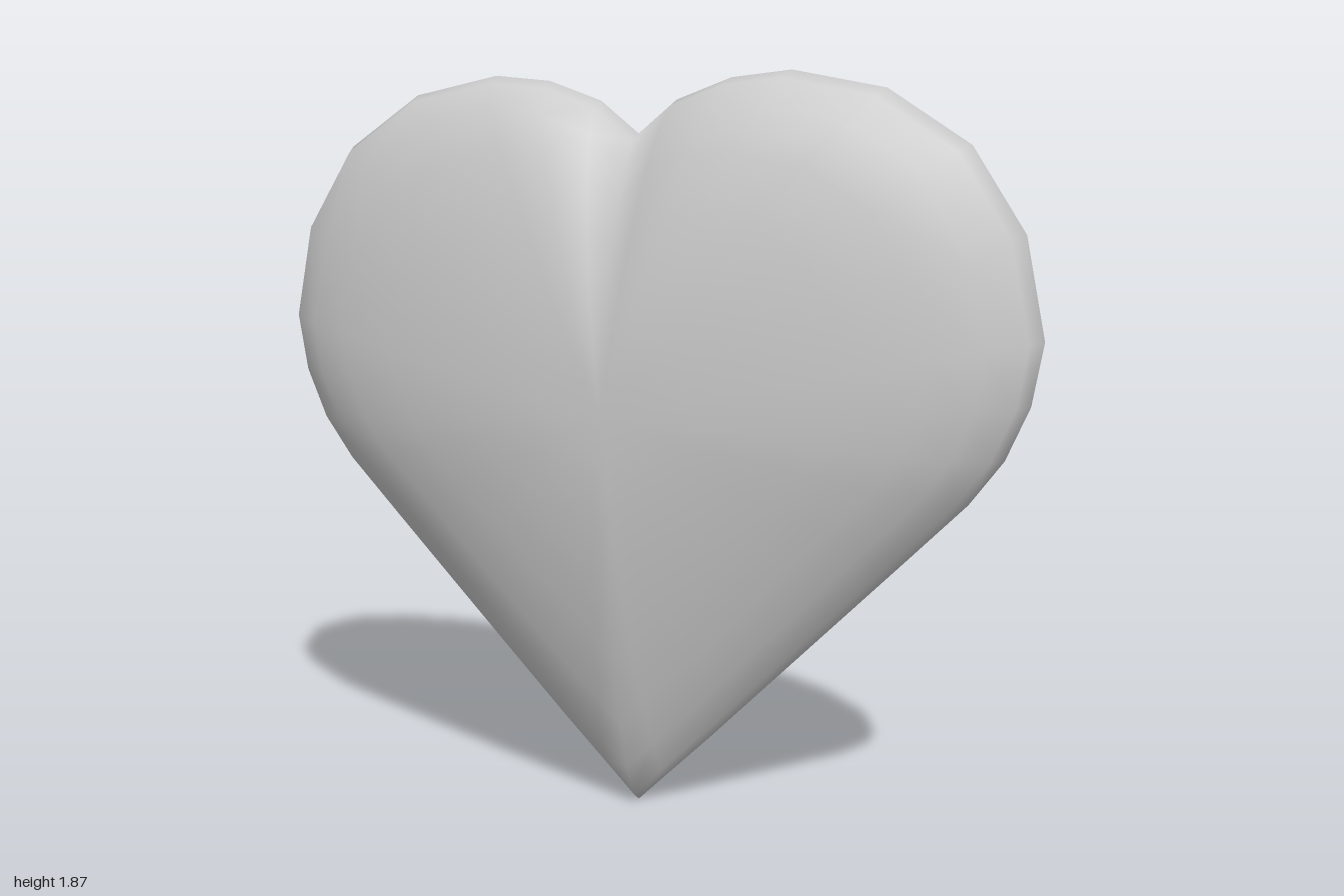
import * as THREE from 'three';

const CENTRE_Y = 1.05;
const HALF_DEPTH = 0.235;

// Left half of the rim from cleft to tip: x, y, how much the surface is pinched there
const HALF_RIM = [
  [0, 1.72, 0.9], [0.1, 1.8, 0.3], [0.24, 1.85, 0], [0.39, 1.865, 0],
  [0.62, 1.82, 0], [0.82, 1.69, 0], [0.95, 1.49, 0], [1, 1.25, 0],
  [0.975, 1.1, 0], [0.92, 0.97, 0], [0.84, 0.86, 0], [0.7, 0.715, 0.1],
  [0.53, 0.54, 0.25], [0.36, 0.365, 0.45], [0.2, 0.2, 0.7], [0.08, 0.08, 0.9], [0, 0, 1],
];

// Ring sizes from the middle of a face out to the rim
const RING_SCALES = [0.12, 0.24, 0.4, 0.6, 0.77, 0.89, 0.975];

function createPuffyHeart() {
  const mirrored = HALF_RIM.slice(1, -1).reverse().map(([x, y, p]) => [-x, y, p]);
  const rim = [...HALF_RIM, ...mirrored];
  const n = rim.length;

  // Front rings, the rim itself, then the back rings
  const rings = [
    ...RING_SCALES.map((s) => [s, 1]),
    [1, 0],
    ...RING_SCALES.slice().reverse().map((s) => [s, -1]),
  ];

  const positions = [0, CENTRE_Y, HALF_DEPTH * 0.985];
  for (const [s, side] of rings) {
    for (const [x, y, pinch] of rim) {
      const z = side * HALF_DEPTH * Math.sqrt(1 - s * s) * (1 - 0.36 * pinch * s * s);
      positions.push(x * s, CENTRE_Y + (y - CENTRE_Y) * s, z);
    }
  }
  positions.push(0, CENTRE_Y, -HALF_DEPTH * 0.985);

  const last = positions.length / 3 - 1;
  const at = (r, i) => 1 + r * n + (i % n);
  const index = [];
  for (let i = 0; i < n; i++) {
    index.push(0, at(0, i + 1), at(0, i));
    for (let r = 0; r < rings.length - 1; r++) {
      const a = at(r, i), b = at(r, i + 1), c = at(r + 1, i + 1), d = at(r + 1, i);
      index.push(a, b, c, a, c, d);
    }
    index.push(last, at(rings.length - 1, i), at(rings.length - 1, i + 1));
  }

  const geometry = new THREE.BufferGeometry();
  geometry.setAttribute('position', new THREE.Float32BufferAttribute(positions, 3));
  geometry.setIndex(index);
  geometry.computeVertexNormals();
  return geometry;
}

export function createModel() {
  const group = new THREE.Group();
  group.name = 'heart';
  const body = new THREE.Mesh(
    createPuffyHeart(),
    new THREE.MeshStandardMaterial({ color: 0xcccccc }),
  );
  body.name = 'heartBody';
  group.add(body);
  return group;
}
